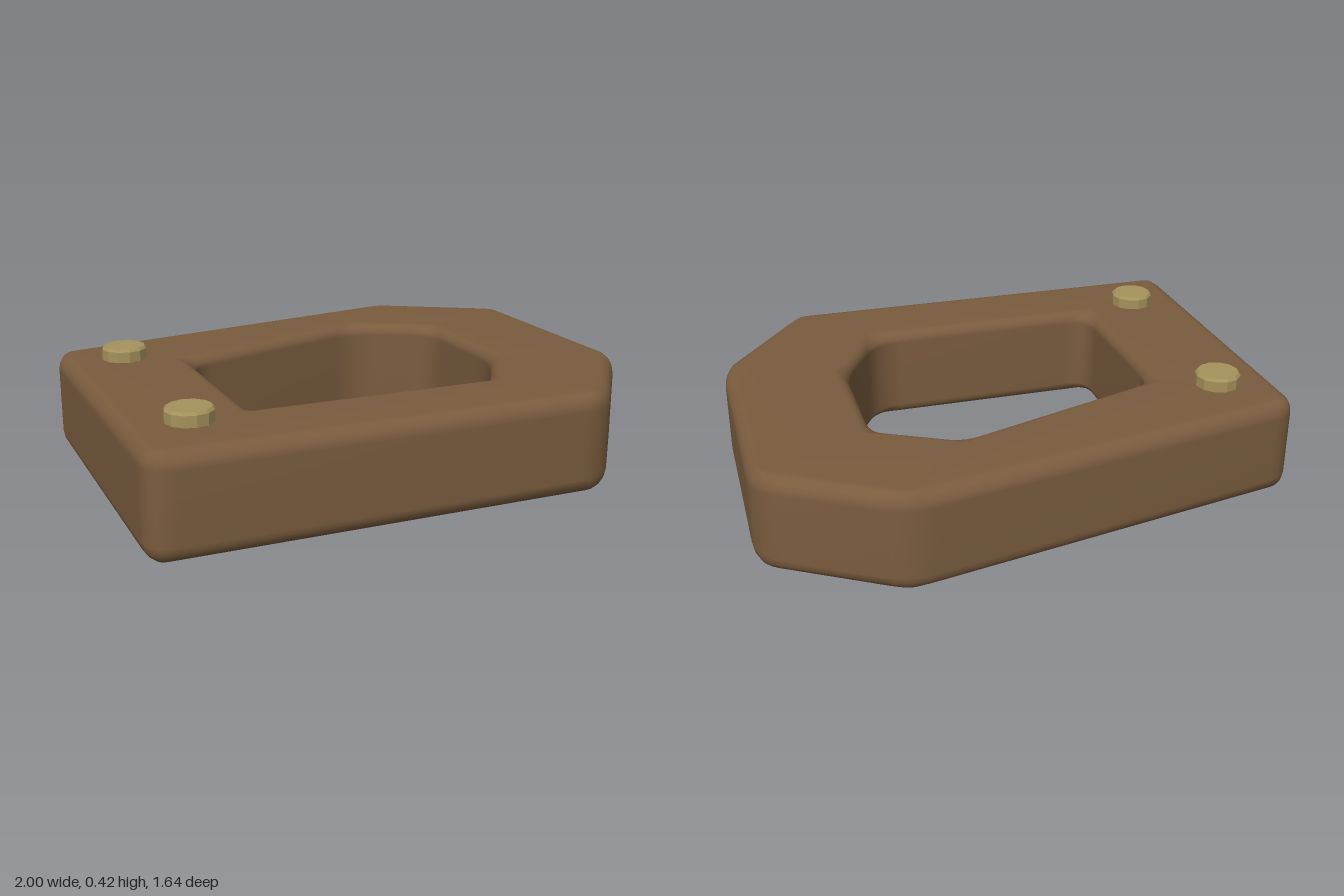
import * as THREE from 'three';

const HEIGHT = 0.37;

// Corner points as [x, z], clockwise seen from above
const OUTER = [[-1, -0.548], [0.531, -0.835], [1, -0.548], [1, 0.36], [0.655, 0.82], [-1, 0.82]];
const HOLE = [[-0.55, -0.214], [0.256, -0.474], [0.545, -0.321], [0.545, 0.19], [0.372, 0.48], [-0.55, 0.48]];

// Moves every side inward by d (outward if negative) and rounds the corners over the length trim
function roundedLoop(corners, d, trim, steps = 5) {
  const pts = corners.map(([x, z]) => new THREE.Vector2(x, z));
  const n = pts.length;
  const dirs = pts.map((p, i) => pts[(i + 1) % n].clone().sub(p).normalize());
  const normals = dirs.map((e) => new THREE.Vector2(-e.y, e.x));
  const loop = [];
  pts.forEach((p, i) => {
    const k = (i + n - 1) % n;
    const miter = normals[k].clone().add(normals[i]).multiplyScalar(d / (1 + normals[k].dot(normals[i])));
    const c = p.clone().add(miter);
    const start = c.clone().addScaledVector(dirs[k], -trim);
    const end = c.clone().addScaledVector(dirs[i], trim);
    loop.push(...new THREE.QuadraticBezierCurve(start, c, end).getPoints(steps));
  });
  return loop;
}

// Closed ring of cross-sections: up the outer wall, over the top, down the hole, back underneath
function frameGeometry() {
  const rings = [];
  const arc = 4;
  const addEdge = (corners, bevel, sign, trim, up, top) => {
    for (let s = 0; s <= arc; s++) {
      const leaving = up === top; // the edge turns from wall to flat face
      const a = (leaving ? s : arc - s) / arc * Math.PI / 2; // 0 on the wall, 90 degrees on the flat face
      const inset = bevel * (1 - Math.cos(a));
      const drop = bevel * (1 - Math.sin(a));
      const loop = roundedLoop(corners, sign * inset, Math.max(0.01, trim * (1 - inset / bevel)));
      rings.push({ loop, y: top ? HEIGHT - drop : drop });
    }
  };
  addEdge(OUTER, 0.06, 1, 0.1, true, false);
  addEdge(OUTER, 0.06, 1, 0.1, true, true);
  addEdge(HOLE, 0.045, -1, 0.1, false, true);
  addEdge(HOLE, 0.045, -1, 0.1, false, false);

  const m = rings[0].loop.length;
  const positions = [];
  const index = [];
  rings.forEach(({ loop, y }, j) => {
    const next = (j + 1) % rings.length;
    loop.forEach((p, i) => {
      positions.push(p.x, y, p.y);
      const i2 = (i + 1) % m;
      const a = j * m + i, b = j * m + i2, c = next * m + i, d = next * m + i2;
      index.push(a, c, b, b, c, d);
    });
  });
  const geometry = new THREE.BufferGeometry();
  geometry.setAttribute('position', new THREE.Float32BufferAttribute(positions, 3));
  geometry.setIndex(index);
  geometry.computeVertexNormals();
  return geometry;
}

// Short twelve-sided stud with a slightly bevelled rim
function studGeometry() {
  const profile = [[0, 0], [0.085, 0], [0.085, 0.06], [0.077, 0.07], [0, 0.07]]
    .map(([x, y]) => new THREE.Vector2(x, y));
  const geometry = new THREE.LatheGeometry(profile, 12).toNonIndexed();
  geometry.computeVertexNormals();
  return geometry;
}

export function createModel() {
  const wood = new THREE.MeshStandardMaterial({ color: 0x7a5c3e });
  wood.name = 'brown wood';
  const brass = new THREE.MeshStandardMaterial({ color: 0xa5925c });
  brass.name = 'dull brass';

  const model = new THREE.Group();
  model.name = 'angularFrame';

  const frame = new THREE.Mesh(frameGeometry(), wood);
  frame.name = 'frame';
  model.add(frame);

  // Studs along the left arm of the frame
  const stud = studGeometry();
  [['backStud', -0.325], ['frontStud', 0.535]].forEach(([name, z]) => {
    const mesh = new THREE.Mesh(stud, brass);
    mesh.name = name;
    mesh.position.set(-0.773, HEIGHT - 0.02, z);
    model.add(mesh);
  });
  return model;
}
